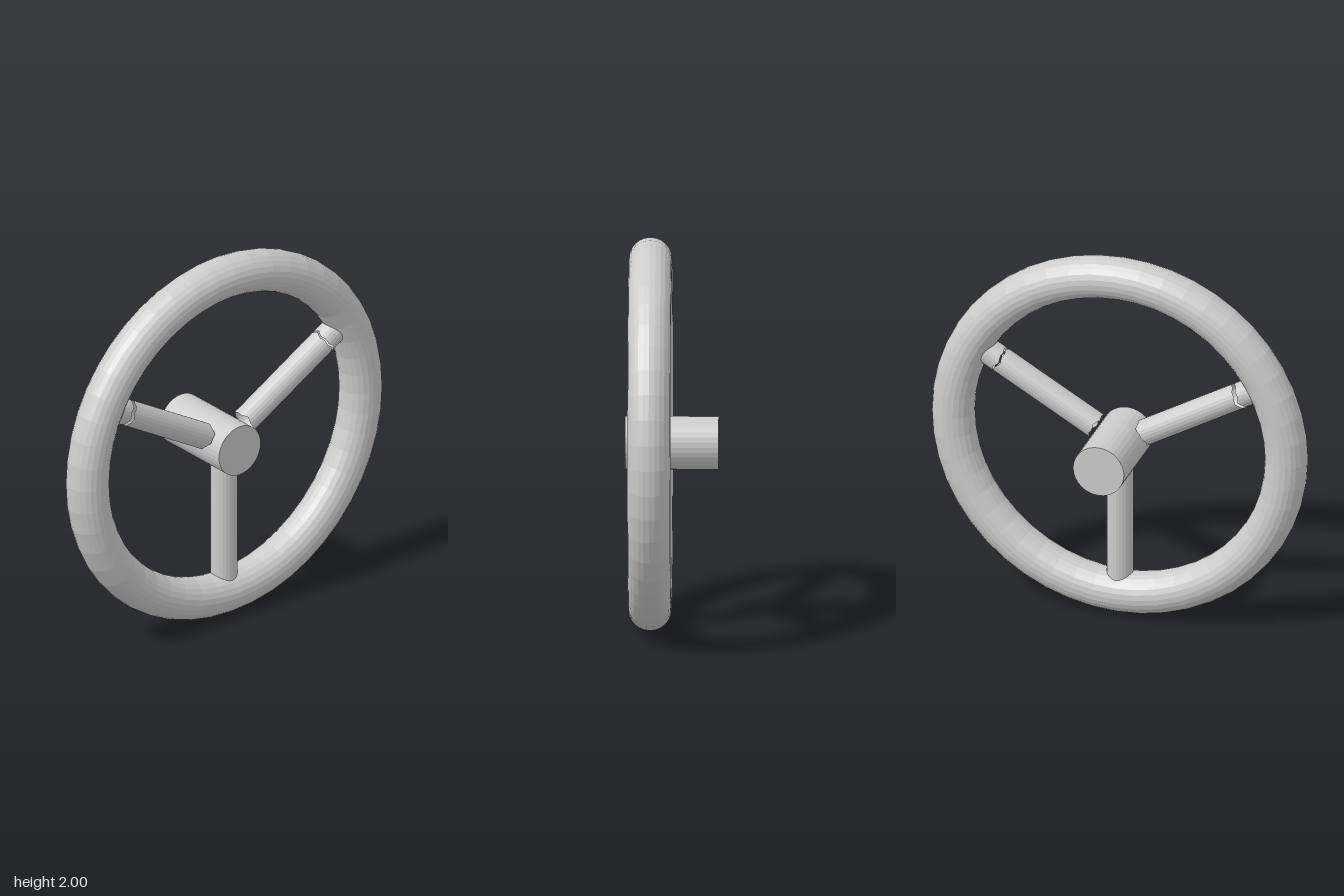
import * as THREE from 'three';

const material = new THREE.MeshStandardMaterial({ color: 0xcccccc, flatShading: true });
const shellMaterial = new THREE.MeshStandardMaterial({
  color: 0xcccccc, flatShading: true, side: THREE.DoubleSide,
});

const RIM_Z = 0.11;
const HUB_Y = 0.955;
const SPOKE_RADIUS = 0.068;

// Open tube along +y whose two ends may be ragged or saddle-shaped:
// start(a) and end(a) give the distance from the hub axis at angle a.
function spokeTube(name, start, end) {
  const geometry = new THREE.CylinderGeometry(SPOKE_RADIUS, SPOKE_RADIUS, 1, 24, 1, true);
  const p = geometry.attributes.position;
  for (let i = 0; i < p.count; i++) {
    const a = Math.atan2(p.getX(i), p.getZ(i));
    p.setY(i, p.getY(i) > 0 ? end(a) : start(a));
  }
  geometry.computeVertexNormals();
  const mesh = new THREE.Mesh(geometry, shellMaterial);
  mesh.name = name;
  return mesh;
}

// Uneven broken edge
const ragged = (a) => 0.006 * Math.sin(3 * a + 0.7) + 0.005 * Math.sin(7 * a);

export function createModel() {
  const model = new THREE.Group();
  model.name = 'steeringWheel';

  // Rim
  const rim = new THREE.Mesh(new THREE.TorusGeometry(0.89, 0.11, 24, 48), material);
  rim.name = 'rim';
  rim.position.set(0, 1, RIM_Z);
  model.add(rim);

  // Hub and column stub, set slightly below the rim centre
  const hub = new THREE.Mesh(
    new THREE.CylinderGeometry(0.136, 0.136, 0.475, 32).rotateX(Math.PI / 2), material);
  hub.name = 'hub';
  hub.position.set(0, HUB_Y, 0);
  model.add(hub);

  // Lower spoke, joined to hub and rim
  const lower = spokeTube('lowerSpoke', () => 0.1, () => 0.8);
  lower.position.set(0, HUB_Y, RIM_Z);
  lower.rotation.z = Math.PI;
  model.add(lower);

  // Upper spokes: free of the hub, with a narrow break before the rim
  for (const [side, name, gap] of [[1, 'left', 0.008], [-1, 'right', 0.018]]) {
    const spoke = new THREE.Group();
    spoke.name = name + 'Spoke';
    spoke.add(
      spokeTube('spokeBar', (a) => 0.152 + ragged(a + 1), (a) => 0.735 + ragged(a)),
      spokeTube('spokeStub', (a) => 0.735 + gap + ragged(a), () => 0.87),
    );
    spoke.position.set(0, HUB_Y, RIM_Z);
    spoke.rotation.z = -side * Math.PI / 3;
    model.add(spoke);
  }
  return model;
}
